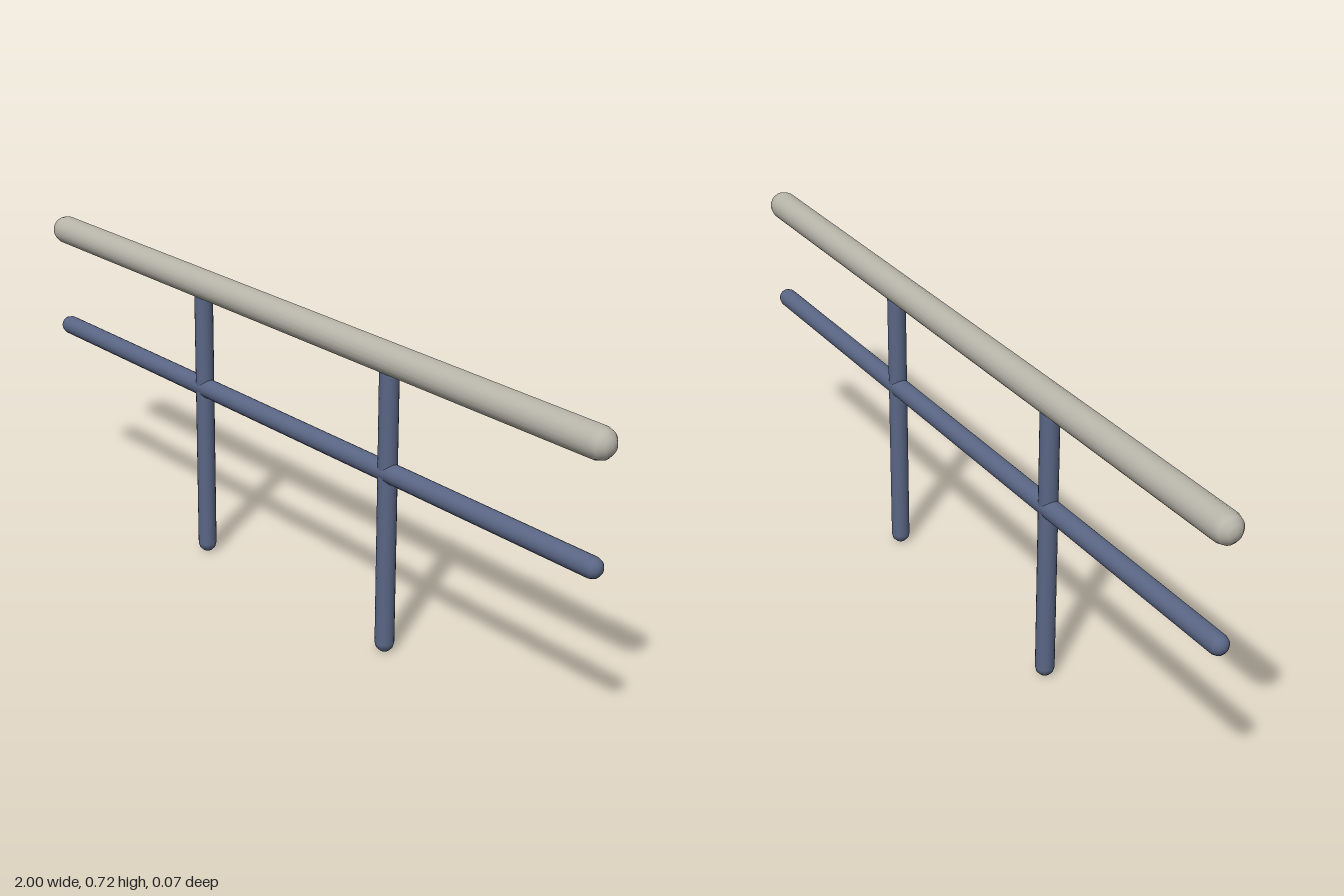
import * as THREE from 'three';

const CAP_SEGMENTS = 3;
const RADIAL_SEGMENTS = 20;

// Round-ended bar; length is measured tip to tip
function bar(name, radius, length, material) {
  const geometry = new THREE.CapsuleGeometry(radius, length - 2 * radius, CAP_SEGMENTS, RADIAL_SEGMENTS);
  const mesh = new THREE.Mesh(geometry, material);
  mesh.name = name;
  return mesh;
}

export function createModel() {
  const group = new THREE.Group();
  group.name = 'railing';
  const railMaterial = new THREE.MeshStandardMaterial({ color: 0xb8b5aa });
  const frameMaterial = new THREE.MeshStandardMaterial({ color: 0x5a6685 });

  // Thick handrail along the top
  const handrail = bar('handrail', 0.035, 2, railMaterial);
  handrail.rotation.z = Math.PI / 2;
  handrail.position.y = 0.685;
  group.add(handrail);

  // Thinner rail below it
  const middleRail = bar('middleRail', 0.023, 1.975, frameMaterial);
  middleRail.rotation.z = Math.PI / 2;
  middleRail.position.y = 0.428;
  group.add(middleRail);

  // Two posts, their tops hidden inside the handrail
  const postHeight = 0.69;
  for (const side of [-1, 1]) {
    const post = bar(side > 0 ? 'leftPost' : 'rightPost', 0.022, postHeight, frameMaterial);
    post.position.set(side * 0.345, postHeight / 2, 0);
    group.add(post);
  }

  return group;
}
